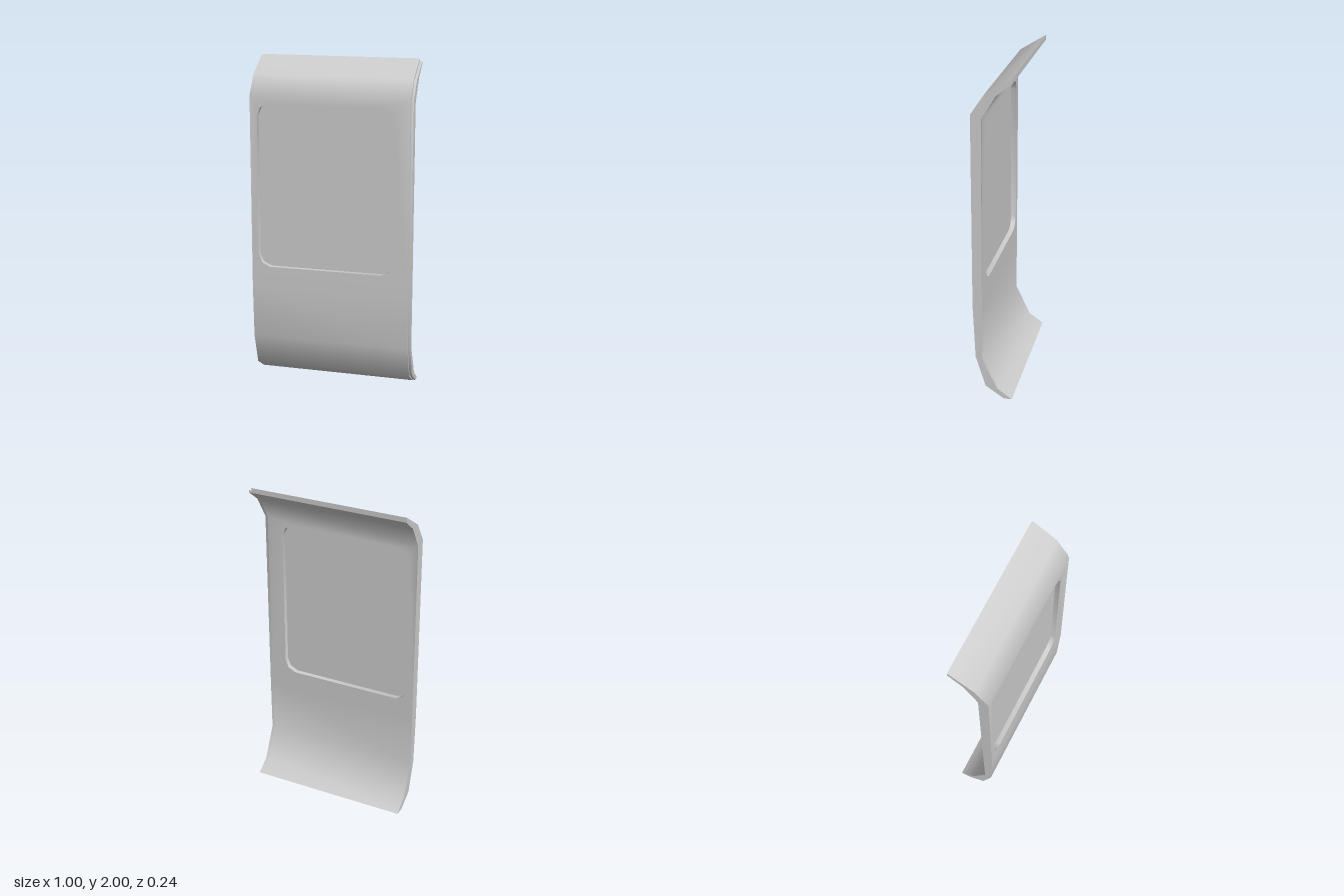
import * as THREE from 'three';
import { toCreasedNormals } from 'three/addons/utils/BufferGeometryUtils.js';

// Side profiles as [z, y], top to bottom; matching rows of outer and inner skin
const OUTER = [[-0.12, 2], [0.04, 1.9], [0.12, 1.78], [0.12, 0.6], [0.105, 0.26], [0.045, 0.065], [-0.06, 0]];
const INNER = [[-0.12, 1.97], [-0.03, 1.9], [0.055, 1.76], [0.06, 0.6], [0.063, 0.26], [-0.03, 0.065], [-0.12, 0]];
const LIP = [[-0.12, 1.985], [0.03, 1.89], [0.105, 1.775], [0.105, 0.6], [0.092, 0.26], [0.033, 0.07], [-0.07, 0]];
const WINDOW_ROW = 2; // the band of the profile that holds the window

// Window outline, counter-clockwise, with two-step rounded corners
function windowOutline() {
  const cx = -0.035, cy = 1.225, w = 0.42, h = 0.505;
  const corner = [[0, 0.075], [0.02, 0.025], [0.07, 0]];
  const points = [];
  for (const [sx, sy] of [[-1, -1], [1, -1], [1, 1], [-1, 1]]) {
    const steps = sx * sy > 0 ? corner : [...corner].reverse();
    for (const [dx, dy] of steps) points.push(new THREE.Vector2(cx + sx * (w - dx), cy + sy * (h - dy)));
  }
  return points;
}

// Sloped skin between two profile rows, cut by the window
function cutSheet(top, bottom, x0, x1, hole, flip) {
  const shape = new THREE.Shape([[x0, bottom[1]], [x1, bottom[1]], [x1, top[1]], [x0, top[1]]]
    .map(p => new THREE.Vector2(...p)));
  shape.holes.push(new THREE.Path(hole));
  const p = new THREE.ShapeGeometry(shape).toNonIndexed().attributes.position;
  const out = [];
  for (let i = 0; i < p.count; i += 3) {
    for (const k of flip ? [0, 2, 1] : [0, 1, 2]) {
      const y = p.getY(i + k);
      out.push(p.getX(i + k), y, depthAt(top, bottom, y));
    }
  }
  return out;
}

function depthAt(top, bottom, y) {
  return THREE.MathUtils.mapLinear(y, bottom[1], top[1], bottom[0], top[0]);
}

// Closed shell of constant profile from x0 to x1, optionally with a window hole
function shell(outer, inner, x0, x1, hole) {
  const pos = [];
  const quad = (a, b, c, d) => pos.push(...a, ...b, ...c, ...a, ...c, ...d);
  const at = (x, [z, y]) => [x, y, z];
  const last = outer.length - 1;

  for (let i = 0; i < last; i++) {
    const o = outer[i], o2 = outer[i + 1], n = inner[i], n2 = inner[i + 1];
    if (hole && i === WINDOW_ROW) {
      pos.push(...cutSheet(o, o2, x0, x1, hole, false), ...cutSheet(n, n2, x0, x1, hole, true));
      // Reveal around the window
      hole.forEach((p, k) => {
        const q = hole[(k + 1) % hole.length];
        const front = v => [v.x, v.y, depthAt(o, o2, v.y)];
        const back = v => [v.x, v.y, depthAt(n, n2, v.y)];
        quad(front(p), front(q), back(q), back(p));
      });
    } else {
      quad(at(x0, o), at(x0, o2), at(x1, o2), at(x1, o));
      quad(at(x1, n), at(x1, n2), at(x0, n2), at(x0, n));
    }
    // Side ends
    quad(at(x1, o), at(x1, o2), at(x1, n2), at(x1, n));
    quad(at(x0, n), at(x0, n2), at(x0, o2), at(x0, o));
  }
  // Top and bottom edges
  quad(at(x0, outer[0]), at(x1, outer[0]), at(x1, inner[0]), at(x0, inner[0]));
  quad(at(x0, outer[last]), at(x0, inner[last]), at(x1, inner[last]), at(x1, outer[last]));

  const geometry = new THREE.BufferGeometry();
  geometry.setAttribute('position', new THREE.Float32BufferAttribute(pos, 3));
  return toCreasedNormals(geometry, 0.8);
}

export function createModel() {
  const group = new THREE.Group();
  group.name = 'doorPanel';
  const grey = new THREE.MeshStandardMaterial({ color: 0xcccccc });
  const greyThin = new THREE.MeshStandardMaterial({ color: 0xcccccc, side: THREE.DoubleSide });
  const add = (name, geometry, material) => {
    const mesh = new THREE.Mesh(geometry, material);
    mesh.name = name;
    group.add(mesh);
    return mesh;
  };
  const outline = windowOutline();

  add('panel', shell(OUTER, INNER, -0.5, 0.485, outline), grey);
  // Recessed closing lip along the left edge
  add('edgeLip', shell(LIP, INNER, 0.485, 0.5), grey);
  // Thin pane set midway in the window opening
  add('windowPane', new THREE.ShapeGeometry(new THREE.Shape(outline)), greyThin).position.z = 0.09;

  return group;
}
